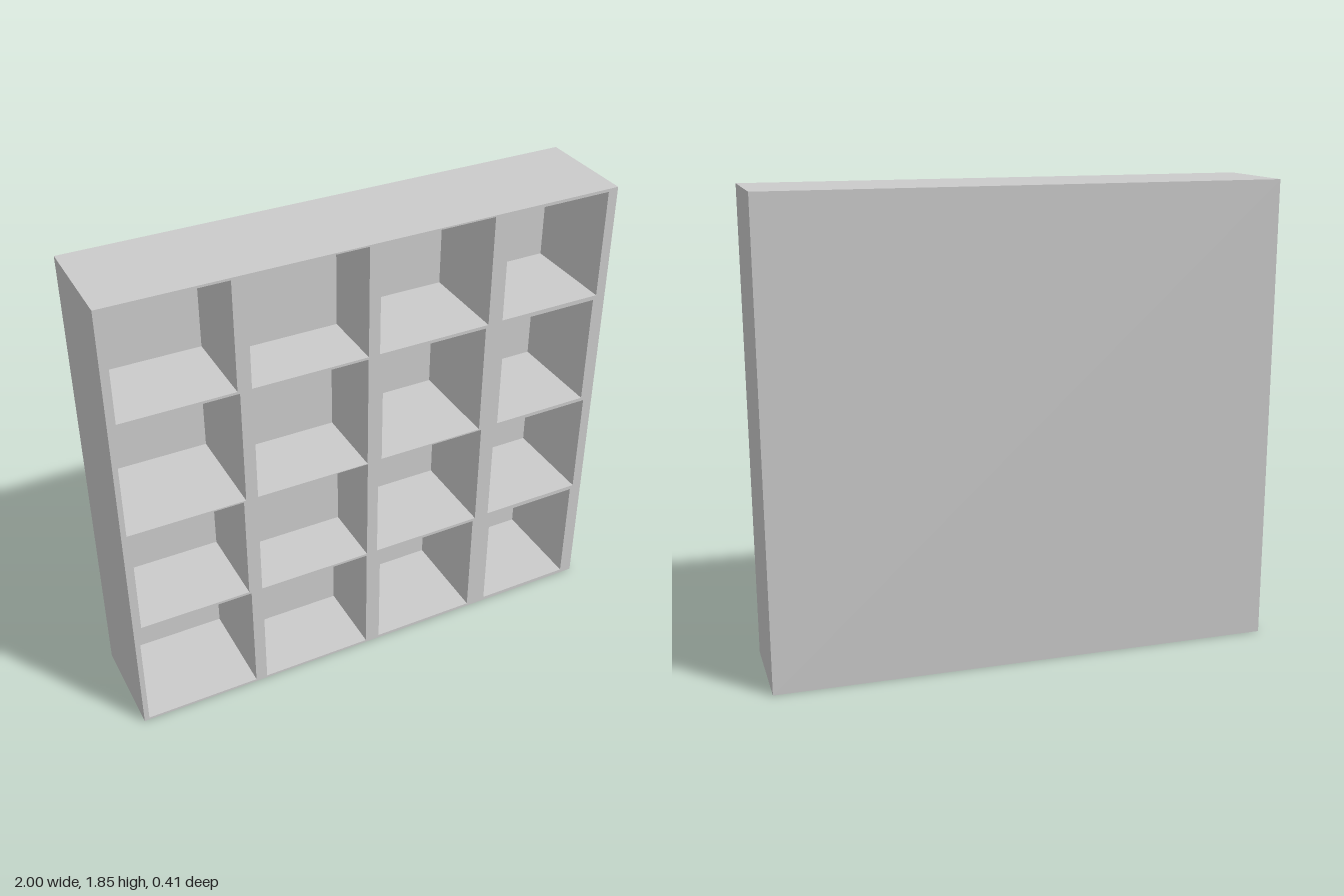
import * as THREE from 'three';

const W = 2, H = 1.85, D = 0.405;
const FRONT = D / 2;

// Compartments from the bottom row up; rows alternate between two layouts.
// Each entry: [left, right, bottom inset, top inset, depth]
const layoutA = {
  cells: [
    [-0.98, -0.523, 0, 0, 0.395],
    [-0.476, -0.025, 0, 0.003, 0.305],
    [0.035, 0.466, 0.003, 0.006, 0.395],
    [0.549, 0.948, 0.006, 0.008, 0.395],
  ],
};
const layoutB = {
  cells: [
    [-0.968, -0.532, 0.003, 0.003, 0.335],
    [-0.478, -0.024, 0, 0, 0.26],
    [0.021, 0.476, 0, 0, 0.365],
    [0.537, 0.96, 0.003, 0.006, 0.385],
  ],
};
const rows = [
  { bottom: 0.01, top: 0.476, ...layoutA },
  { bottom: 0.483, top: 0.927, ...layoutB },
  { bottom: 0.93, top: 1.397, ...layoutA },
  { bottom: 1.404, top: 1.844, ...layoutB },
];

// Box without its front (+z) face; inward turns the faces to the inside
function openBox(w, h, d, inward) {
  const geo = new THREE.BoxGeometry(w, h, d);
  const index = Array.from(geo.index.array).filter((_, i) => i < 24 || i >= 30);
  geo.clearGroups();
  geo.setIndex(inward ? index.reverse() : index);
  if (inward) {
    const n = geo.attributes.normal;
    for (let i = 0; i < n.count; i++) n.setXYZ(i, -n.getX(i), -n.getY(i), -n.getZ(i));
  }
  return geo;
}

function rectangle(path, x0, y0, x1, y1) {
  path.moveTo(x0, y0);
  path.lineTo(x1, y0);
  path.lineTo(x1, y1);
  path.lineTo(x0, y1);
  path.closePath();
  return path;
}

export function createModel() {
  const group = new THREE.Group();
  group.name = 'cubbyShelf';
  const material = new THREE.MeshStandardMaterial({ color: 0xcccccc });
  const add = (name, geo, x, y, z) => {
    const mesh = new THREE.Mesh(geo, material);
    mesh.name = name;
    mesh.position.set(x, y, z);
    group.add(mesh);
  };

  // Outer case: back, sides, top and bottom
  add('case', openBox(W, H, D, false), 0, H / 2, 0);

  // Compartments of differing depth, each with a matching opening in the front
  const face = rectangle(new THREE.Shape(), -W / 2, 0, W / 2, H);
  rows.forEach((row, r) => {
    row.cells.forEach(([x0, x1, insetBottom, insetTop, depth], c) => {
      const y0 = row.bottom + insetBottom, y1 = row.top - insetTop;
      face.holes.push(rectangle(new THREE.Path(), x0, y0, x1, y1));
      add(`compartmentRow${r + 1}Column${c + 1}`, openBox(x1 - x0, y1 - y0, depth, true),
        (x0 + x1) / 2, (y0 + y1) / 2, FRONT - depth / 2);
    });
  });

  // Front edges of the dividers and shelves
  add('frontFrame', new THREE.ShapeGeometry(face), 0, 0, FRONT);

  return group;
}
